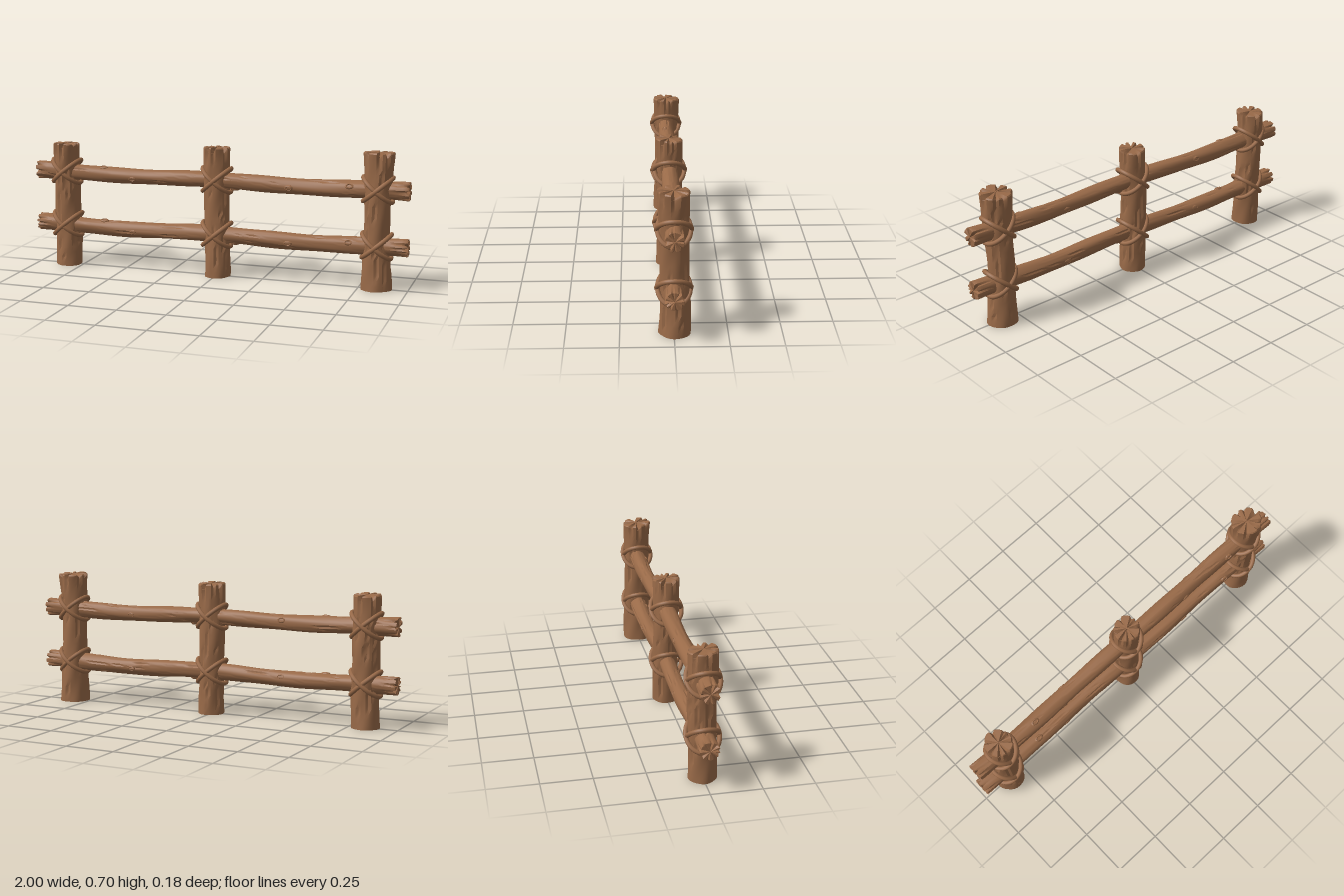
import * as THREE from 'three';
import { toCreasedNormals } from 'three/addons/utils/BufferGeometryUtils.js';

const wood = new THREE.MeshStandardMaterial({ color: 0x996a48 });
wood.name = 'brown wood';

// Small seeded random generator
function seeded(seed) {
  let s = seed * 7919 + 17;
  return () => {
    s = (s * 16807) % 2147483647;
    return s / 2147483647;
  };
}

// Irregular log from looped cross-sections. place(s, u, v) maps length and section to a point;
// radius(t) and bend(t) shape it; notchStart / notchEnd split the end faces.
function logGeometry({ length, radius, bend, place, seed, rings, notchStart, notchEnd, cracks }) {
  const rnd = seeded(seed);
  for (let i = 0; i < 5; i++) rnd();
  const sides = 32;
  const phase = [rnd() * 6, rnd() * 6, rnd() * 6];

  // Split columns around the ends, and short bark cracks along the length
  const notch = new Array(sides).fill(0);
  for (let j = 0; j < sides; j += 3 + Math.floor(rnd() * 3)) notch[j] = 0.1 + rnd() * 0.13;
  const groove = {};
  for (let k = 0; k < cracks; k++) {
    const col = Math.floor(rnd() * sides);
    const start = 2 + Math.floor(rnd() * (rings - 6));
    const span = 1 + Math.floor(rnd() * 4);
    for (let i = 0; i < span; i++) groove[(start + i) * sides + col] = 0.09;
  }

  // Sections: start cap, body, end cap
  const sections = [[0, 0, 'start'], [0, 0.5, 'start'], [0, 0.8, 'start']];
  for (let i = 0; i <= rings; i++) sections.push([i / rings, 1, i]);
  sections.push([1, 0.94, 'end'], [1, 0.7, 'end'], [1, 0.4, 'end'], [1, 0, 'end']);

  const pos = [];
  const index = [];
  sections.forEach(([t, scale, id], row) => {
    const [bu, bv] = bend(t);
    for (let j = 0; j < sides; j++) {
      const a = (j / sides) * Math.PI * 2;
      const wobble = 1 + 0.03 * Math.sin(2 * a + phase[0] + t * 5)
        + 0.022 * Math.sin(3 * a + phase[1] - t * 11) + 0.02 * Math.sin(5 * a + phase[2] + t * 17);
      const fade0 = notchStart * Math.max(0, 1 - (t * length) / 0.09);
      const fade1 = notchEnd * Math.max(0, 1 - ((1 - t) * length) / 0.12);
      const cut = notch[j] * Math.max(fade0, fade1) + (groove[id * sides + j] || 0);
      const r = radius(t) * wobble * scale * (1 - cut);
      // Cracks run inward across the end faces
      let s = t * length;
      const depth = notch[j] * 0.09 * (scale > 0.3 ? 1 : 0);
      if (t === 0) s += depth * notchStart;
      if (t === 1) s -= depth * notchEnd + (scale === 1 ? 0.006 * notchEnd : 0);
      pos.push(...place(s, bu + r * Math.cos(a), bv + r * Math.sin(a)));
      if (row < sections.length - 1) {
        const p = row * sides + j;
        const q = row * sides + ((j + 1) % sides);
        index.push(p, p + sides, q, q, p + sides, q + sides);
      }
    }
  });
  const g = new THREE.BufferGeometry();
  g.setAttribute('position', new THREE.Float32BufferAttribute(pos, 3));
  g.setIndex(index);
  return toCreasedNormals(g, 0.5);
}

function addMesh(parent, geometry, name) {
  const m = new THREE.Mesh(geometry, wood);
  m.name = name;
  parent.add(m);
  return m;
}

// Closed rope loop leaning along one diagonal
class RopeLoop extends THREE.Curve {
  constructor(side, grow) {
    super();
    this.side = side;
    this.grow = grow;
  }
  getPoint(t, target = new THREE.Vector3()) {
    const a = t * Math.PI * 2;
    const c = Math.cos(a);
    return target.set(this.side * 0.073 * c, 0.061 * c, (0.077 + this.grow) * Math.sin(a));
  }
}

export function createModel() {
  const fence = new THREE.Group();
  fence.name = 'fence';

  // Upright posts
  const posts = [
    { name: 'rightPost', x: -0.833, h: 0.655, r: 0.067, flare: 0.003 },
    { name: 'middlePost', x: 0.004, h: 0.675, r: 0.065, flare: 0.003 },
    { name: 'leftPost', x: 0.838, h: 0.692, r: 0.066, flare: 0.011 },
  ];
  posts.forEach((p, i) => {
    addMesh(fence, logGeometry({
      length: p.h, rings: 26, seed: 11 + i * 5, cracks: 34, notchStart: 0, notchEnd: 1,
      radius: (t) => p.r + p.flare * Math.pow(Math.abs(2 * t - 1), 2),
      bend: (t) => [0.003 * Math.sin(t * 6 + i), 0.003 * Math.cos(t * 5 + i) - 0.002],
      // Tops are cut slightly out of level
      place: (s, u, v) => [p.x + u, s + (s / p.h) ** 8 * v * 0.06, v],
    }), p.name);
  });

  // Horizontal rails, sagging a little between posts
  const railHeights = [0.215, 0.5];
  railHeights.forEach((y, i) => {
    addMesh(fence, logGeometry({
      length: 1.996, rings: 64, seed: 41 + i * 3, cracks: 46, notchStart: 1, notchEnd: 1,
      radius: (t) => 0.041 + 0.005 * Math.pow(Math.abs(2 * t - 1), 4) + 0.0015 * Math.sin(t * 31 + i),
      bend: (t) => [-0.003 + 0.003 * Math.sin(t * 14), 0.005 * Math.cos(t * Math.PI * 4)],
      place: (s, u, v) => [s - 0.998, y + v, u],
    }), i ? 'upperRail' : 'lowerRail');
  });

  // Branch knots: raised rims with a hollow centre
  const knotProfile = [[0.026, -0.012], [0.018, 0.003], [0.013, 0.006], [0.009, 0.001], [0, 0]]
    .map(([x, y]) => new THREE.Vector2(x, y));
  const knotGeometry = toCreasedNormals(new THREE.LatheGeometry(knotProfile, 9), 0.5);
  const knots = [[-0.45, -0.35], [0.39, -0.25], [-0.62, 1.2], [0.7, 0.5], [-0.4, 2.9], [0.46, 3.4], [0.1, -1.5]];
  railHeights.forEach((y) => {
    knots.forEach(([x, a]) => {
      const k = addMesh(fence, knotGeometry, 'knot');
      k.position.set(x, y + 0.038 * Math.sin(a), -0.003 + 0.038 * Math.cos(a));
      k.rotation.x = Math.PI / 2 - a;
      k.scale.set(1.25, 1, 0.75);
    });
  });

  // Crossed rope lashings at every joint
  const ropes = [1, -1].map((side) =>
    new THREE.TubeGeometry(new RopeLoop(side, side > 0 ? 0.002 : -0.002), 48, 0.0115, 8, true));
  posts.forEach((p) => {
    railHeights.forEach((y) => {
      const lashing = new THREE.Group();
      lashing.name = 'lashing';
      lashing.position.set(p.x, y + 0.006, 0);
      ropes.forEach((g) => addMesh(lashing, g, 'ropeLoop'));
      fence.add(lashing);
    });
  });

  return fence;
}
